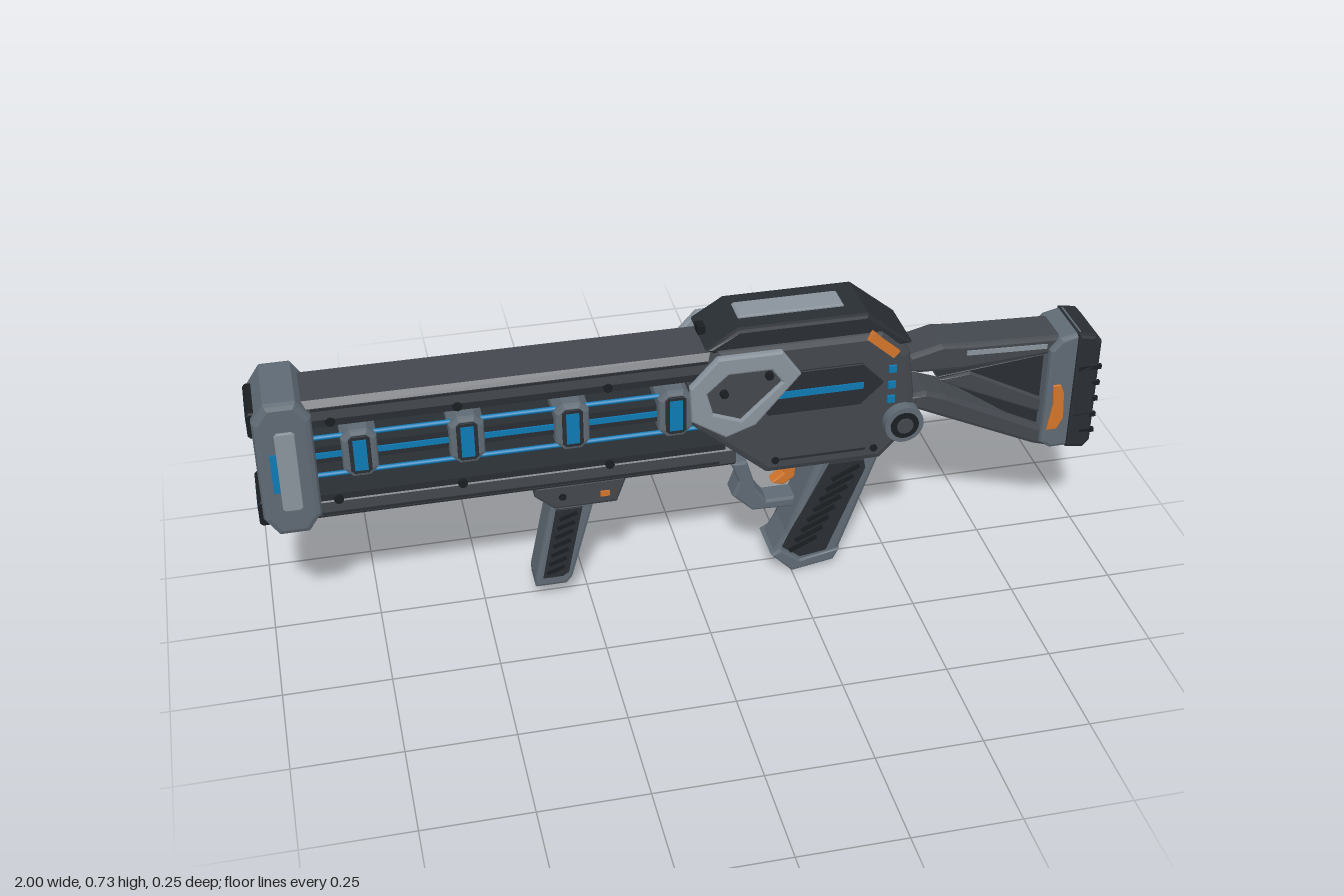
import * as THREE from 'three';

const mat = (color) => new THREE.MeshStandardMaterial({ color });
const M = {
  body: mat(0x43484e), dark: mat(0x292e33), black: mat(0x1b1e22), steel: mat(0x5f6a74),
  light: mat(0x89939c), blue: mat(0x0f7ab5), orange: mat(0xd2752a),
};

export function createModel() {
  const root = new THREE.Group();
  const add = (name, geo, m, x = 0, y = 0, z = 0, rz = 0) => {
    const mesh = new THREE.Mesh(geo, m);
    mesh.name = name;
    mesh.position.set(x, y, z);
    mesh.rotation.z = rz;
    root.add(mesh);
    return mesh;
  };
  const box = (name, m, x, y, z, w, h, d, rz = 0) => add(name, new THREE.BoxGeometry(w, h, d), m, x, y, z, rz);
  // Side outline extruded across z with chamfered edges, total thickness 2 * hz
  const plate = (name, m, pts, hz, bevel = 0.008, z = 0, hole = null) => {
    const shape = new THREE.Shape(pts.map(([x, y]) => new THREE.Vector2(x, y)));
    if (hole) shape.holes.push(new THREE.Path(hole.map(([x, y]) => new THREE.Vector2(x, y))));
    const geo = new THREE.ExtrudeGeometry(shape, {
      depth: 2 * (hz - bevel), bevelEnabled: bevel > 0, bevelThickness: bevel,
      bevelSize: bevel, bevelOffset: -bevel, bevelSegments: 2,
    });
    geo.translate(0, 0, bevel - hz);
    return add(name, geo, m, 0, 0, z);
  };
  // Rectangle with cut corners
  const cut = (x0, x1, y0, y1, c, d = c) => [[x0 + c, y0], [x1 - c, y0], [x1, y0 + d], [x1, y1 - d],
    [x1 - c, y1], [x0 + c, y1], [x0, y1 - d], [x0, y0 + d]];
  const disc = (name, m, x, y, z, r, d, n = 24) => {
    const mesh = add(name, new THREE.CylinderGeometry(r, r, d, n), m, x, y, z);
    mesh.rotation.x = Math.PI / 2;
    return mesh;
  };
  const sides = (fn) => [1, -1].forEach(fn);
  const lerp = THREE.MathUtils.lerp;

  // Muzzle block
  plate('muzzleBlock', M.steel, cut(-0.99, -0.86, 0.33, 0.675, 0.03, 0.045), 0.097, 0.014);
  for (const y of [0.375, 0.61]) {
    plate('muzzleSlot', M.black, cut(-1, -0.96, y - 0.033, y + 0.033, 0.006), 0.065, 0.004);
    box('muzzleGlow', M.blue, -0.995, y, 0, 0.012, 0.014, 0.08);
  }
  sides((s) => {
    plate('muzzlePanel', M.light, cut(-0.945, -0.9, 0.4, 0.605, 0.006), 0.006, 0.002, s * 0.098);
    box('muzzleSideGlow', M.blue, -0.952, 0.5, s * 0.097, 0.016, 0.1, 0.008);
  });

  // Upper and lower rails with dark inner ledges
  for (const [y0, y1, ledge] of [[0.597, 0.657, 0.605], [0.342, 0.405, 0.397]]) {
    const sect = new THREE.Shape(cut(-0.075, 0.075, y0, y1, 0.014).map(([a, b]) => new THREE.Vector2(a, b)));
    const geo = new THREE.ExtrudeGeometry(sect, { depth: 1, bevelEnabled: false });
    geo.rotateY(Math.PI / 2);
    add('rail', geo, M.body, -0.9);
    box('railLedge', M.dark, -0.4, ledge, 0, 0.95, 0.026, 0.144);
    sides((s) => {
      box('railTrim', M.dark, -0.4, (y0 + y1) / 2 + (ledge > 0.5 ? 0.012 : -0.012), s * 0.075, 0.92, 0.006, 0.004);
      for (const x of [-0.82, -0.54, -0.2]) disc('railScrew', M.black, x, ledge, s * 0.074, 0.011, 0.012, 8);
    });
  }

  // Core, energy rods and coils
  box('coreBar', M.dark, -0.4, 0.5, 0, 0.96, 0.044, 0.09);
  sides((s) => {
    box('coreGlow', M.blue, -0.4, 0.5, s * 0.046, 0.96, 0.014, 0.006);
    for (const y of [0.447, 0.547]) {
      const rod = add('energyRod', new THREE.CylinderGeometry(0.006, 0.006, 0.96, 10), M.blue, -0.4, y, s * 0.045);
      rod.rotation.z = Math.PI / 2;
    }
  });
  for (let i = 0; i < 4; i++) {
    const x = -0.762 + i * 0.24;
    plate('coil', M.steel, cut(x - 0.04, x + 0.04, 0.444, 0.566, 0.02), 0.068, 0.01);
    sides((s) => {
      plate('coilFrame', M.dark, cut(x - 0.024, x + 0.024, 0.456, 0.554, 0.008), 0.004, 0.001, s * 0.068);
      box('coilGlow', M.blue, x, 0.505, s * 0.07, 0.03, 0.08, 0.008);
    });
  }

  // Receiver and its top cover
  plate('receiver', M.body, [[-0.01, 0.57], [0, 0.47], [0.17, 0.322], [0.45, 0.322], [0.53, 0.41],
    [0.525, 0.5], [0.51, 0.61], [0.44, 0.675], [0.05, 0.675]], 0.092, 0.018);
  plate('topCover', M.dark, [[0.025, 0.672], [0.1, 0.72], [0.405, 0.72], [0.515, 0.63], [0.45, 0.625],
    [0.4, 0.655], [0.06, 0.655]], 0.082, 0.01);
  plate('topPanel', M.light, cut(0.11, 0.36, 0.71, 0.726, 0.004), 0.033, 0.003);
  box('rearSight', M.black, 0.03, 0.688, 0, 0.018, 0.02, 0.03);
  sides((s) => {
    // Pointed inset with glowing strip
    plate('sidePanel', M.dark, [[0.12, 0.545], [0.17, 0.49], [0.39, 0.49], [0.445, 0.543], [0.39, 0.6],
      [0.17, 0.6]], 0.006, 0.002, s * 0.092);
    box('sideGlow', M.blue, 0.285, 0.543, s * 0.097, 0.22, 0.017, 0.008);
    for (const y of [0.575, 0.532, 0.493]) box('indicator', M.blue, 0.465, y, s * 0.092, 0.018, 0.018, 0.012);
    box('orangeTab', M.orange, 0.44, 0.642, s * 0.09, 0.085, 0.022, 0.018, -0.72);
    box('lowerSeam', M.dark, 0.3, 0.36, s * 0.091, 0.22, 0.006, 0.004);
    // Raised angular frame
    plate('sideFrame', M.light, [[-0.02, 0.6], [0.045, 0.67], [0.195, 0.67], [0.24, 0.605], [0.135, 0.482],
      [0.065, 0.457], [-0.015, 0.51]], 0.01, 0.005, s * 0.108,
    [[0.02, 0.58], [0.035, 0.525], [0.1, 0.5], [0.195, 0.59], [0.17, 0.625], [0.07, 0.625]]);
    plate('sideFrameInfill', M.body, [[0.01, 0.585], [0.03, 0.52], [0.1, 0.49], [0.205, 0.59], [0.175, 0.635],
      [0.065, 0.635]], 0.009, 0.002, s * 0.1);
    for (const [x, y] of [[0.06, 0.575], [0.165, 0.61]]) disc('frameScrew', M.black, x, y, s * 0.113, 0.01, 0.014, 10);
    // Pivot knob
    disc('pivotRing', M.steel, 0.495, 0.43, s * 0.1, 0.047, 0.036, 28);
    disc('pivotFace', M.black, 0.495, 0.43, s * 0.117, 0.034, 0.008, 28);
    disc('pivotCore', M.body, 0.495, 0.43, s * 0.121, 0.02, 0.006, 20);
    for (const [x, y] of [[0.19, 0.36], [0.43, 0.36]]) disc('receiverScrew', M.black, x, y, s * 0.093, 0.009, 0.008, 10);
  });

  // Stock: two arms, web, bracket and pad
  plate('stockUpperArm', M.body, [[0.5, 0.535], [0.52, 0.575], [0.6, 0.595], [0.66, 0.59], [0.9, 0.58],
    [0.9, 0.535], [0.66, 0.52], [0.55, 0.525]], 0.054, 0.01);
  sides((s) => box('stockTrim', M.light, 0.76, 0.563, s * 0.054, 0.2, 0.012, 0.006, -0.04));
  plate('stockLowerArm', M.body, [[0.5, 0.46], [0.57, 0.468], [0.62, 0.45], [0.89, 0.315], [0.89, 0.268],
    [0.85, 0.28], [0.54, 0.425]], 0.052, 0.01);
  plate('stockWeb', M.dark, [[0.6, 0.495], [0.88, 0.525], [0.88, 0.3]], 0.03, 0.004);
  plate('stockBrace', M.body, [[0.6, 0.49], [0.68, 0.5], [0.87, 0.4], [0.87, 0.36], [0.65, 0.462]], 0.038, 0.005);
  plate('stockBracket', M.steel, [[0.865, 0.29], [0.89, 0.272], [0.94, 0.272], [0.94, 0.592], [0.89, 0.58],
    [0.865, 0.55]], 0.068, 0.01);
  sides((s) => plate('stockOrangeInlay', M.orange, [[0.875, 0.33], [0.9, 0.33], [0.915, 0.36], [0.91, 0.43],
    [0.9, 0.455], [0.88, 0.455], [0.885, 0.4]], 0.005, 0.002, s * 0.068));
  plate('buttPad', M.dark, [[0.93, 0.272], [0.975, 0.266], [0.992, 0.285], [0.992, 0.565], [0.975, 0.585],
    [0.93, 0.592]], 0.075, 0.01);
  for (let i = 0; i < 5; i++) {
    const y = 0.315 + i * 0.045;
    sides((s) => box('padRib', M.black, 0.968, y, s * 0.071, 0.058, 0.011, 0.008));
  }

  // Rear grip with ribbed inlays
  plate('rearGrip', M.steel, [[0.32, 0.34], [0.47, 0.335], [0.365, 0.03], [0.35, 0.015], [0.25, 0.005],
    [0.2, 0.05], [0.235, 0.11]], 0.055, 0.012);
  plate('gripFoot', M.steel, [[0.197, 0.055], [0.22, 0.068], [0.27, 0.03], [0.37, 0.05], [0.355, 0.018],
    [0.25, 0]], 0.06, 0.005);
  sides((s) => {
    plate('gripInlay', M.dark, [[0.335, 0.305], [0.42, 0.305], [0.425, 0.28], [0.335, 0.05], [0.27, 0.04],
      [0.225, 0.075], [0.255, 0.14]], 0.004, 0.001, s * 0.055);
    for (let i = 0; i < 8; i++) {
      const t = i / 7;
      box('gripRib', M.black, lerp(0.275, 0.375, t), lerp(0.08, 0.275, t), s * 0.059, 0.075, 0.012, 0.008, 0.45);
    }
  });

  // Trigger and guard
  plate('triggerGuard', M.steel, [[0.1, 0.32], [0.14, 0.32], [0.165, 0.235], [0.19, 0.2], [0.26, 0.2],
    [0.26, 0.172], [0.155, 0.176], [0.105, 0.225], [0.12, 0.265]], 0.03, 0.006);
  plate('trigger', M.orange, [[0.225, 0.325], [0.268, 0.325], [0.262, 0.25], [0.235, 0.23], [0.205, 0.24],
    [0.235, 0.265], [0.24, 0.29]], 0.016, 0.004);

  // Front grip
  plate('foregripMount', M.body, [[-0.375, 0.345], [-0.155, 0.345], [-0.18, 0.275], [-0.33, 0.275],
    [-0.375, 0.315]], 0.058, 0.008);
  plate('foregrip', M.steel, [[-0.335, 0.28], [-0.23, 0.28], [-0.29, 0.06], [-0.305, 0.042], [-0.38, 0.042],
    [-0.38, 0.065]], 0.042, 0.009);
  sides((s) => {
    box('mountTab', M.orange, -0.21, 0.306, s * 0.058, 0.022, 0.014, 0.008);
    disc('mountScrew', M.black, -0.31, 0.31, s * 0.058, 0.009, 0.006, 10);
    plate('foregripInlay', M.dark, [[-0.325, 0.265], [-0.262, 0.265], [-0.3, 0.08], [-0.315, 0.07],
      [-0.362, 0.07]], 0.004, 0.001, s * 0.042);
    for (let i = 0; i < 7; i++) {
      const t = i / 6;
      box('foregripRib', M.black, lerp(-0.332, -0.297, t), lerp(0.092, 0.245, t), s * 0.046, 0.045, 0.01, 0.006, 0.35);
    }
  });
  return root;
}
